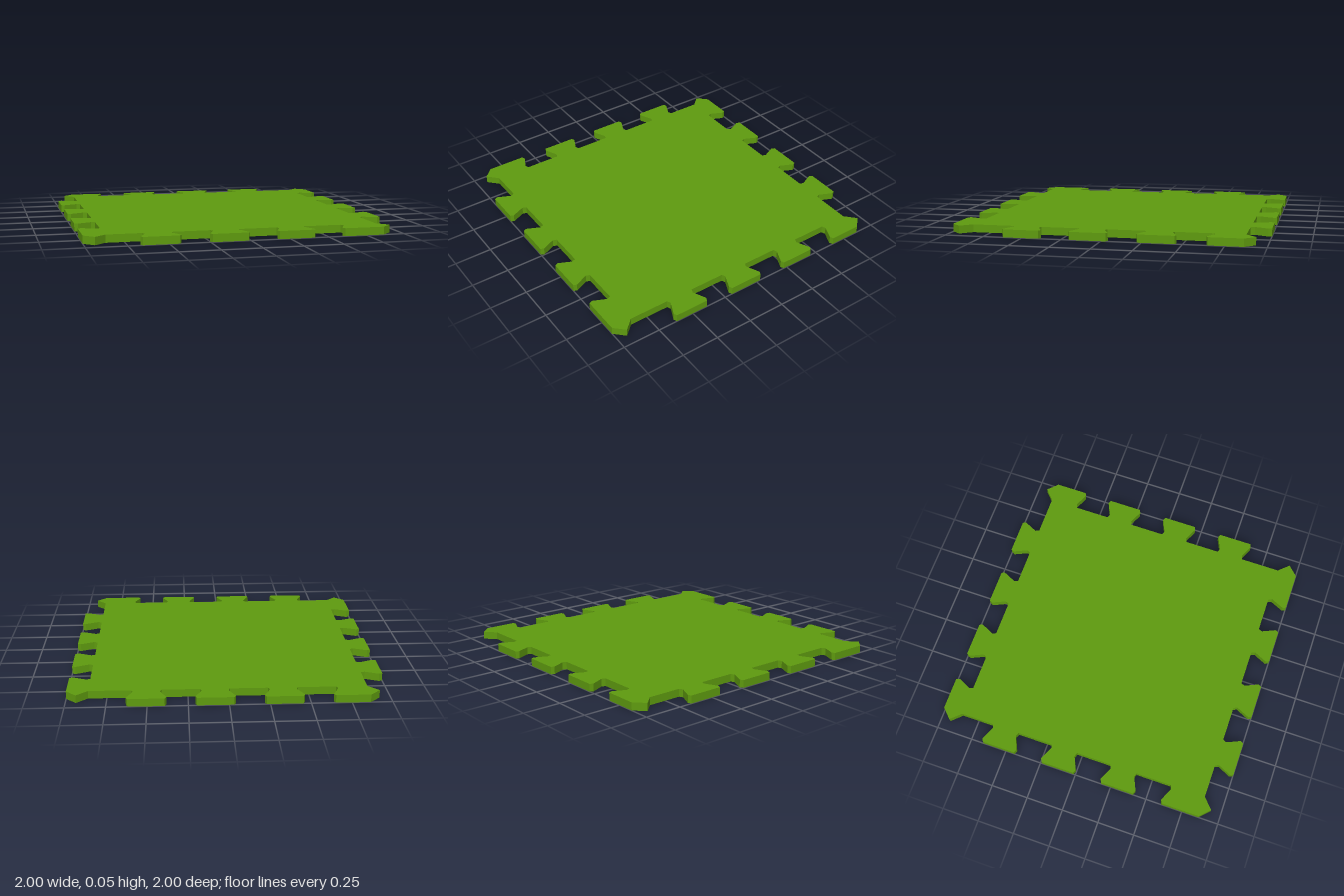
import * as THREE from 'three';

const THICKNESS = 0.05;
const INNER = 0.865; // edge of the square body
const OUTER = 1;     // outer face of the tabs
const PITCH = 0.4225;
const HALF_TAB = 0.123;

// Dovetail flank as [inset from the widest point, distance from centre], outside to inside
const FLANK = [[0.01, OUTER], [0, 0.978], [0.04, 0.89], [0.03, INNER]];

// One side of the mat in (along, outward) coordinates: pointed corner tab, then three dovetails
function sidePoints(shift) {
  const pts = [[-INNER, INNER], [-0.93, 0.935], [-INNER, OUTER]];
  FLANK.forEach(([inset, d]) => pts.push([-0.64 + shift - inset, d]));
  for (let i = 0; i < 3; i++) {
    const c = -0.339 + shift + i * PITCH;
    [...FLANK].reverse().forEach(([inset, d]) => pts.push([c - HALF_TAB + inset, d]));
    FLANK.forEach(([inset, d]) => pts.push([c + HALF_TAB - inset, d]));
  }
  return pts;
}

export function createModel() {
  const group = new THREE.Group();
  group.name = 'interlockingFloorMat';
  const green = new THREE.MeshStandardMaterial({ color: 0x5f9b0f });
  green.name = 'leafGreen';

  // Opposite sides are staggered so that neighbouring mats interlock
  const stagger = 0.0425;
  const outline = [
    ...sidePoints(0).map(([u, d]) => [u, -d]),       // back
    ...sidePoints(0).map(([u, d]) => [d, u]),        // left (+x)
    ...sidePoints(stagger).map(([u, d]) => [-u, d]), // front
    ...sidePoints(stagger).map(([u, d]) => [-d, -u]) // right (-x)
  ];
  const shape = new THREE.Shape(outline.map(([x, z]) => new THREE.Vector2(x, -z)));
  const geometry = new THREE.ExtrudeGeometry(shape, { depth: THICKNESS, bevelEnabled: false });
  geometry.rotateX(-Math.PI / 2);

  const mat = new THREE.Mesh(geometry, green);
  mat.name = 'tabbedMat';
  group.add(mat);
  return group;
}
